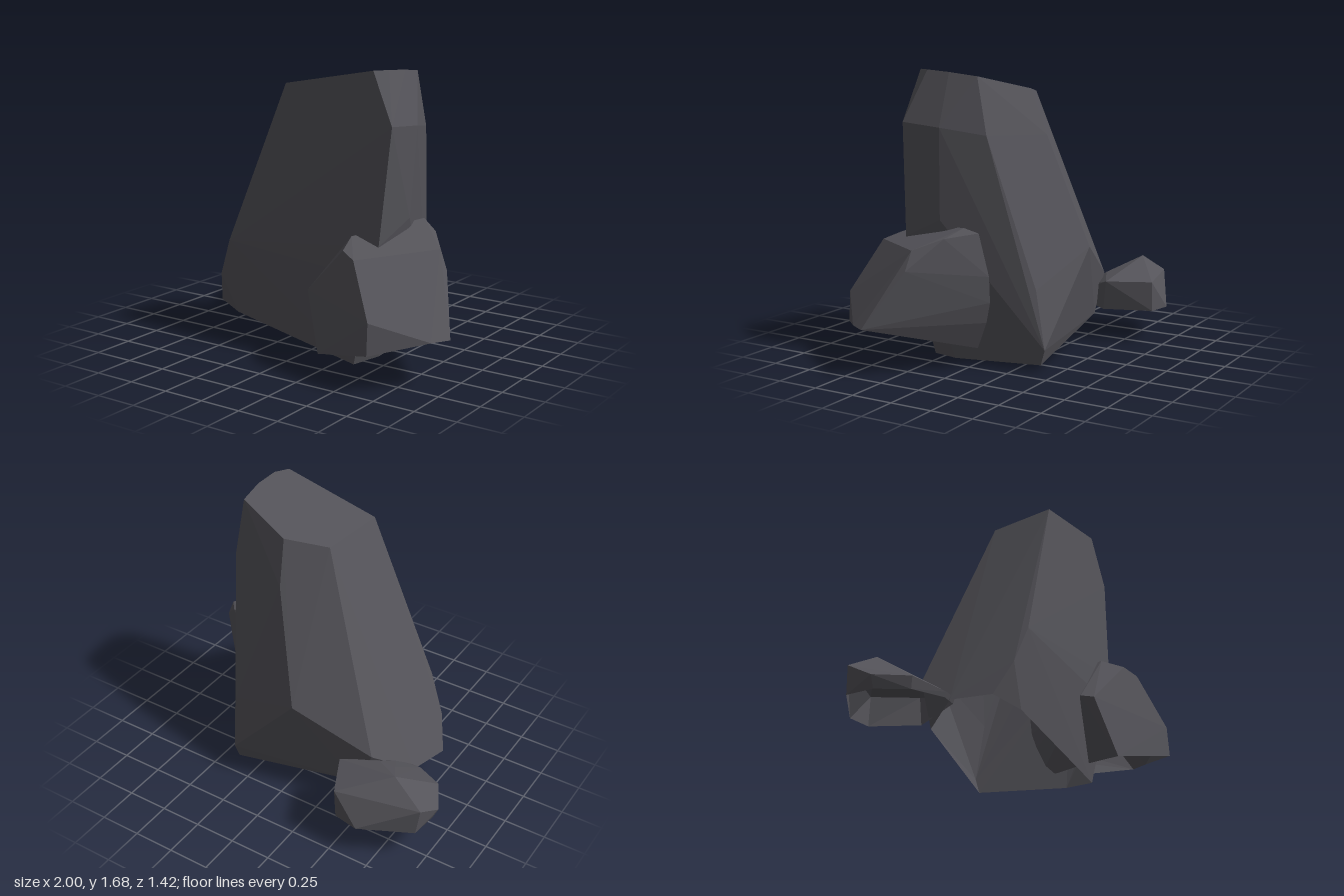
import * as THREE from 'three';
import { ConvexGeometry } from 'three/addons/geometries/ConvexGeometry.js';

const stone = new THREE.MeshStandardMaterial({ color: 0x55545a, side: THREE.DoubleSide });
stone.name = 'dark stone';

// A faceted boulder wrapped tightly around its corner points, left open underneath
function boulder(name, corners) {
  const hull = new ConvexGeometry(corners.map((c) => new THREE.Vector3(...c)));
  const positions = hull.attributes.position.array;
  const normals = hull.attributes.normal.array;
  const kept = [];
  for (let i = 0; i < positions.length; i += 9) {
    if (normals[i + 1] > -0.6) kept.push(...positions.slice(i, i + 9));
  }
  const geometry = new THREE.BufferGeometry();
  geometry.setAttribute('position', new THREE.Float32BufferAttribute(kept, 3));
  geometry.computeVertexNormals();
  const mesh = new THREE.Mesh(geometry, stone);
  mesh.name = name;
  return mesh;
}

export function createModel() {
  const group = new THREE.Group();
  group.name = 'rockCluster';

  group.add(boulder('tallRock', [
    // slanted top
    [-0.15, 1.57, 0.28], [-0.09, 1.54, -0.10], [0.15, 1.57, -0.20], [0.51, 1.65, -0.07],
    [0.53, 1.67, 0.10], [0.52, 1.68, 0.25], [0.47, 1.68, 0.33],
    // shoulder on the right and back
    [0.61, 1.39, 0.36], [0.62, 1.37, 0.11], [0.53, 1.33, -0.14], [0.12, 1.31, -0.29],
    // waist
    [0.55, 0.73, 0.39], [0.59, 0.85, 0.13], [0.42, 0.85, -0.28],
    [-0.07, 0.65, -0.47], [0.40, 0.47, -0.38], [-0.53, 0.40, -0.34],
    [-0.56, 0.60, 0.31], [0.50, 0.54, 0.39], [-0.66, 0.37, 0.27],
    // base
    [-0.73, 0.17, 0.18], [-0.54, 0.14, 0.26], [-0.68, 0.20, -0.09],
    [-0.42, 0.16, -0.33], [0.39, 0.13, -0.43], [0.38, 0.04, -0.40],
    [0.35, 0.00, 0.33], [0.41, 0.01, 0.15],
  ]));

  group.add(boulder('sideRock', [
    // front face
    [0.11, 0.43, 0.44], [0.11, 0.45, 0.36], [0.24, 0.10, 0.53], [0.68, 0.22, 0.71],
    [0.68, 0.40, 0.70], [0.51, 0.69, 0.58], [0.41, 0.72, 0.53],
    // top
    [0.38, 0.77, 0.40], [0.81, 0.71, 0.17], [0.70, 0.77, 0.03], [0.59, 0.82, -0.03],
    [0.55, 0.79, -0.10],
    // outer point and back
    [0.94, 0.28, 0.48], [1.00, 0.28, 0.38], [0.86, 0.60, 0.18],
    [0.54, 0.55, -0.16], [0.53, 0.40, -0.16], [0.52, 0.28, -0.13],
    [0.50, 0.12, -0.06], [0.30, 0.10, 0.30],
  ]));

  group.add(boulder('smallRock', [
    // top
    [-0.77, 0.48, -0.49], [-0.49, 0.38, -0.68], [-0.97, 0.36, -0.55], [-0.68, 0.39, -0.33],
    [-0.58, 0.39, -0.33], [-0.37, 0.38, -0.43], [-0.70, 0.29, -0.18], [-0.60, 0.29, -0.17],
    // rim
    [-1.00, 0.27, -0.39], [-0.90, 0.27, -0.20], [-0.72, 0.23, -0.09], [-0.62, 0.23, -0.09],
    // foot
    [-0.97, 0.20, -0.39], [-0.89, 0.20, -0.21], [-0.72, 0.20, -0.10], [-0.62, 0.20, -0.10],
    [-0.40, 0.20, -0.40], [-0.50, 0.20, -0.68], [-0.65, 0.20, -0.71], [-0.95, 0.20, -0.56],
  ]));

  return group;
}
